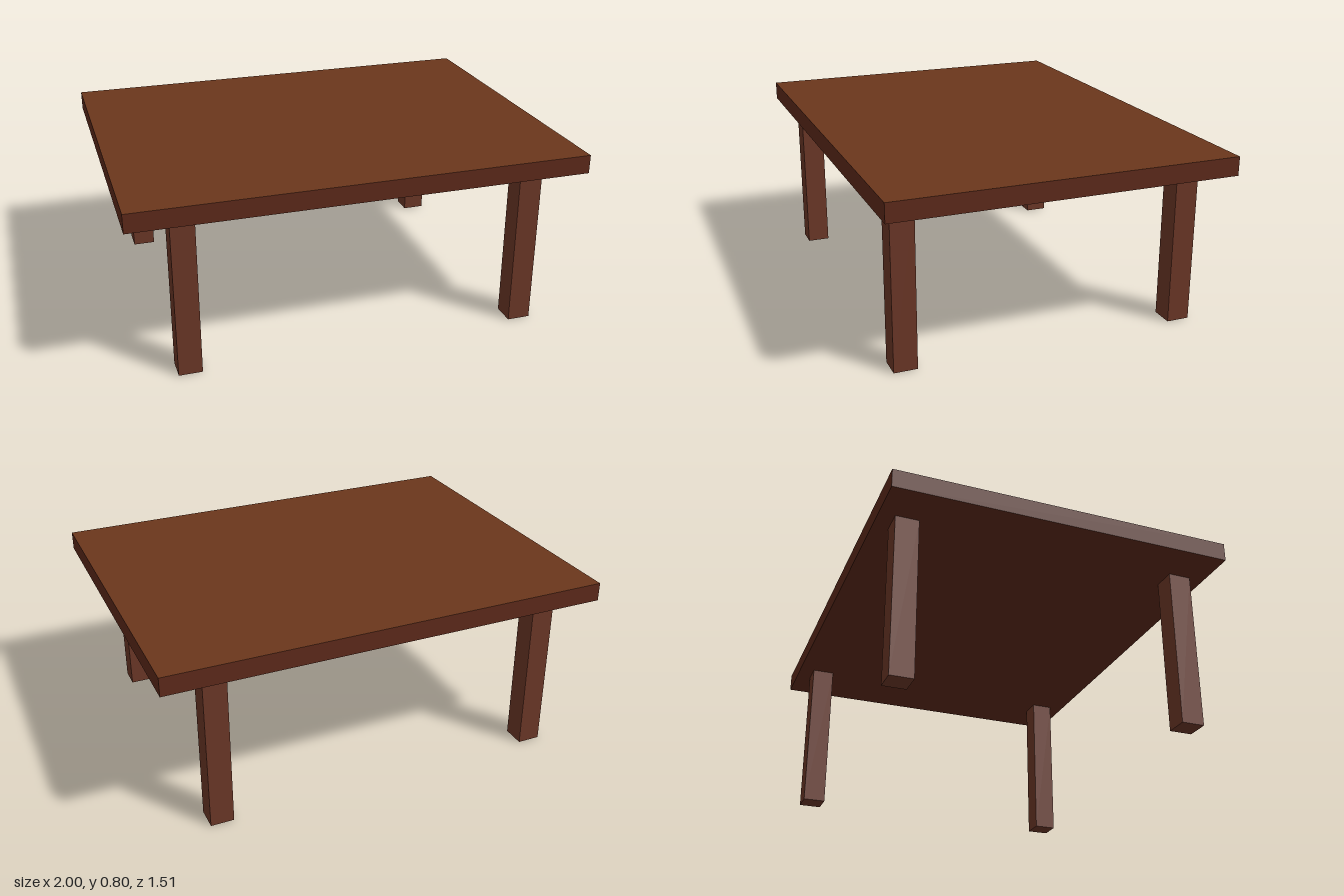
import * as THREE from 'three';

export function createModel() {
  const table = new THREE.Group();
  table.name = 'table';

  const surfaceWood = new THREE.MeshStandardMaterial({ color: 0x6b361c });
  const edgeWood = new THREE.MeshStandardMaterial({ color: 0x5c291a });
  const legWood = new THREE.MeshStandardMaterial({ color: 0x6a3626 });

  const legHeight = 0.72, legWidth = 0.103, topThickness = 0.083;

  // Tabletop: a plain slab with a lighter upper face
  const tabletop = new THREE.Mesh(
    new THREE.BoxGeometry(2, topThickness, 1.514),
    [edgeWood, edgeWood, surfaceWood, edgeWood, edgeWood, edgeWood]
  );
  tabletop.name = 'tabletop';
  tabletop.position.y = legHeight + topThickness / 2;
  table.add(tabletop);

  // Four square legs, inset from the corners
  const legGeometry = new THREE.BoxGeometry(legWidth, legHeight, legWidth);
  for (const [xName, x] of [['Left', 1], ['Right', -1]]) {
    for (const [zName, z] of [['front', 1], ['back', -1]]) {
      const leg = new THREE.Mesh(legGeometry, legWood);
      leg.name = `${zName}${xName}Leg`;
      leg.position.set(x * 0.763, legHeight / 2, z * 0.636);
      table.add(leg);
    }
  }

  return table;
}
